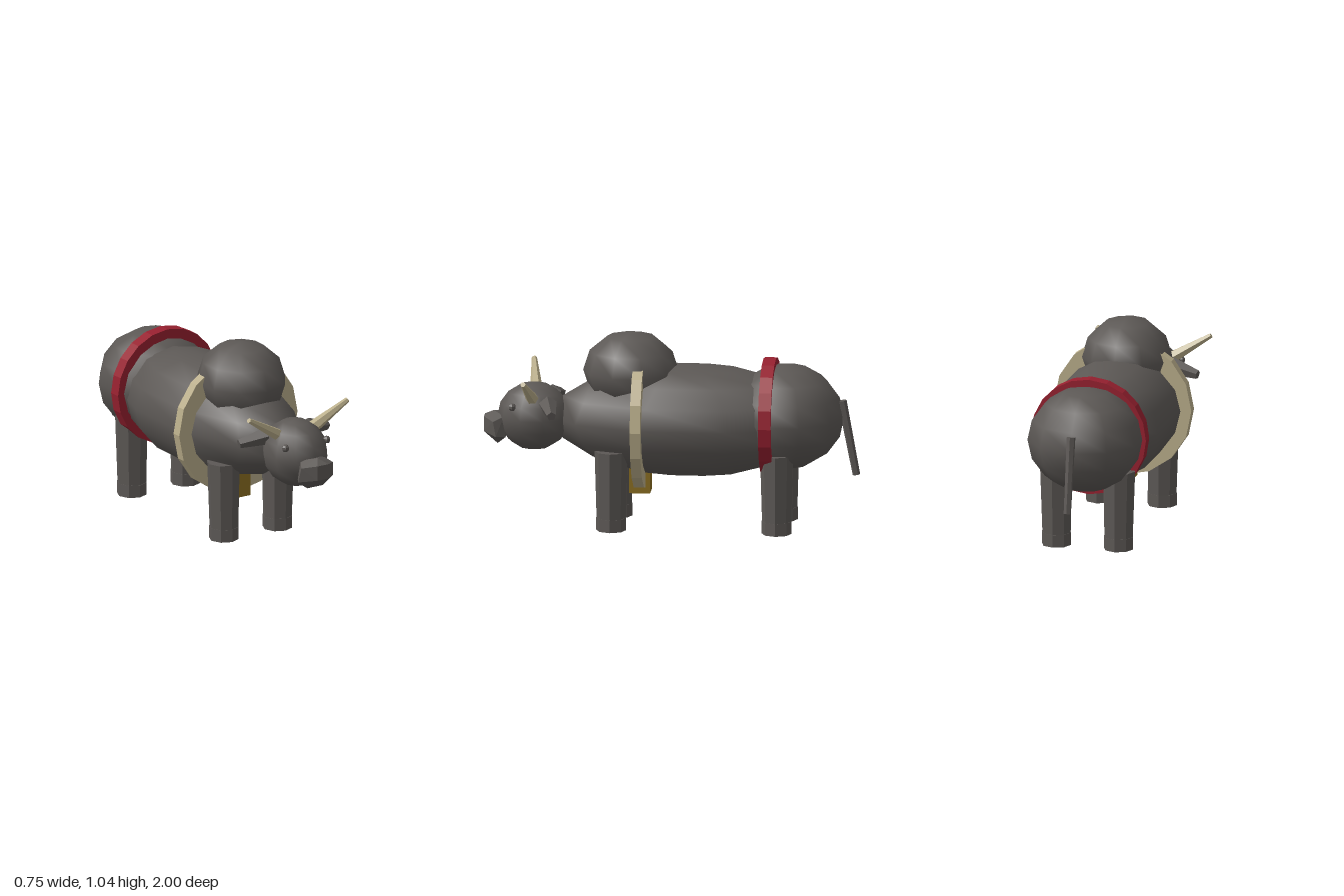
import * as THREE from 'three';
import { toCreasedNormals } from 'three/addons/utils/BufferGeometryUtils.js';
import { ConvexGeometry } from 'three/addons/geometries/ConvexGeometry.js';

function material(name, color) {
  const m = new THREE.MeshStandardMaterial({ color });
  m.name = name;
  return m;
}

export function createModel() {
  const model = new THREE.Group();
  model.name = 'hornedBeast';
  const hide = material('greyHide', 0x5c5855);
  const cream = material('creamHorn', 0xb9ad8a);
  const red = material('redBand', 0x96202f);
  const brass = material('brassBell', 0x8a6e22);

  function add(name, geometry, mat) {
    const mesh = new THREE.Mesh(geometry, mat);
    mesh.name = name;
    model.add(mesh);
    return mesh;
  }

  // Smooth scaled sphere with a vertex facing front
  function blob(name, center, radii, w, h) {
    const g = new THREE.SphereGeometry(1, w, h);
    g.rotateY(Math.PI / 2);
    g.scale(...radii);
    g.translate(...center);
    return add(name, g, hide);
  }

  // Tapered faceted rod between two points
  function rod(name, a, b, ra, rb, sides, mat) {
    const from = new THREE.Vector3(...a), to = new THREE.Vector3(...b);
    const dir = to.clone().sub(from);
    const g = toCreasedNormals(new THREE.CylinderGeometry(rb, ra, dir.length(), sides), 0.3);
    const mesh = add(name, g, mat);
    mesh.position.copy(from).add(to).multiplyScalar(0.5);
    mesh.quaternion.setFromUnitVectors(new THREE.Vector3(0, 1, 0), dir.normalize());
    return mesh;
  }

  // Flat disc around the body, facing front
  function band(name, y, z, r, depth, sides, mat) {
    const g = new THREE.CylinderGeometry(r, r, depth, sides);
    g.rotateX(Math.PI / 2);
    g.rotateZ(Math.PI / 2);
    add(name, toCreasedNormals(g, 0.3), mat).position.set(0, y, z);
  }

  // Body masses
  blob('body', [0, 0.57, -0.09], [0.333, 0.3, 0.73], 10, 8);
  blob('haunch', [0, 0.6, -0.603], [0.31, 0.28, 0.31], 10, 8);
  blob('shoulderHump', [0, 0.83, 0.22], [0.238, 0.213, 0.255], 10, 6);
  blob('head', [0, 0.573, 0.735], [0.17, 0.183, 0.195], 10, 8);

  // Faceted muzzle
  const muzzle = [[0, 0.597, 0.95]];
  for (const s of [1, -1]) {
    muzzle.push([s * 0.035, 0.57, 1], [s * 0.035, 0.49, 1], [s * 0.1, 0.555, 0.945],
      [s * 0.11, 0.475, 0.93], [s * 0.05, 0.43, 0.925], [s * 0.08, 0.47, 0.88], [s * 0.07, 0.58, 0.89]);
  }
  add('muzzle', new ConvexGeometry(muzzle.map(p => new THREE.Vector3(...p))), hide);

  // Paired parts
  for (const [side, s] of [['left', 1], ['right', -1]]) {
    rod(side + 'Horn', [s * 0.115, 0.69, 0.735], [s * 0.314, 0.813, 0.765], 0.034, 0.014, 6, cream);
    rod(side + 'Ear', [s * 0.13, 0.662, 0.65], [s * 0.28, 0.635, 0.617], 0.05, 0.025, 5, hide);
    const eye = toCreasedNormals(new THREE.SphereGeometry(0.021, 6, 5), 0.2);
    add(side + 'Eye', eye, hide).position.set(s * 0.131, 0.645, 0.84);
    for (const [end, z] of [['Front', 0.31], ['Rear', -0.57]]) {
      rod(side + end + 'Leg', [s * 0.17, 0.04, z], [s * 0.173, 0.43, z], 0.077, 0.088, 8, hide);
      rod(side + end + 'Hoof', [s * 0.17, 0, z], [s * 0.17, 0.068, z], 0.08, 0.08, 8, hide);
    }
  }

  // Tail
  rod('tail', [0, 0.69, -0.902], [0, 0.29, -0.978], 0.024, 0.02, 6, hide);

  // Collar, rear strap and bell block
  band('collar', 0.574, 0.165, 0.376, 0.055, 16, cream);
  band('rearStrap', 0.595, -0.517, 0.315, 0.067, 20, red);
  add('bell', new THREE.BoxGeometry(0.112, 0.14, 0.11), brass).position.set(0, 0.244, 0.17);

  return model;
}
